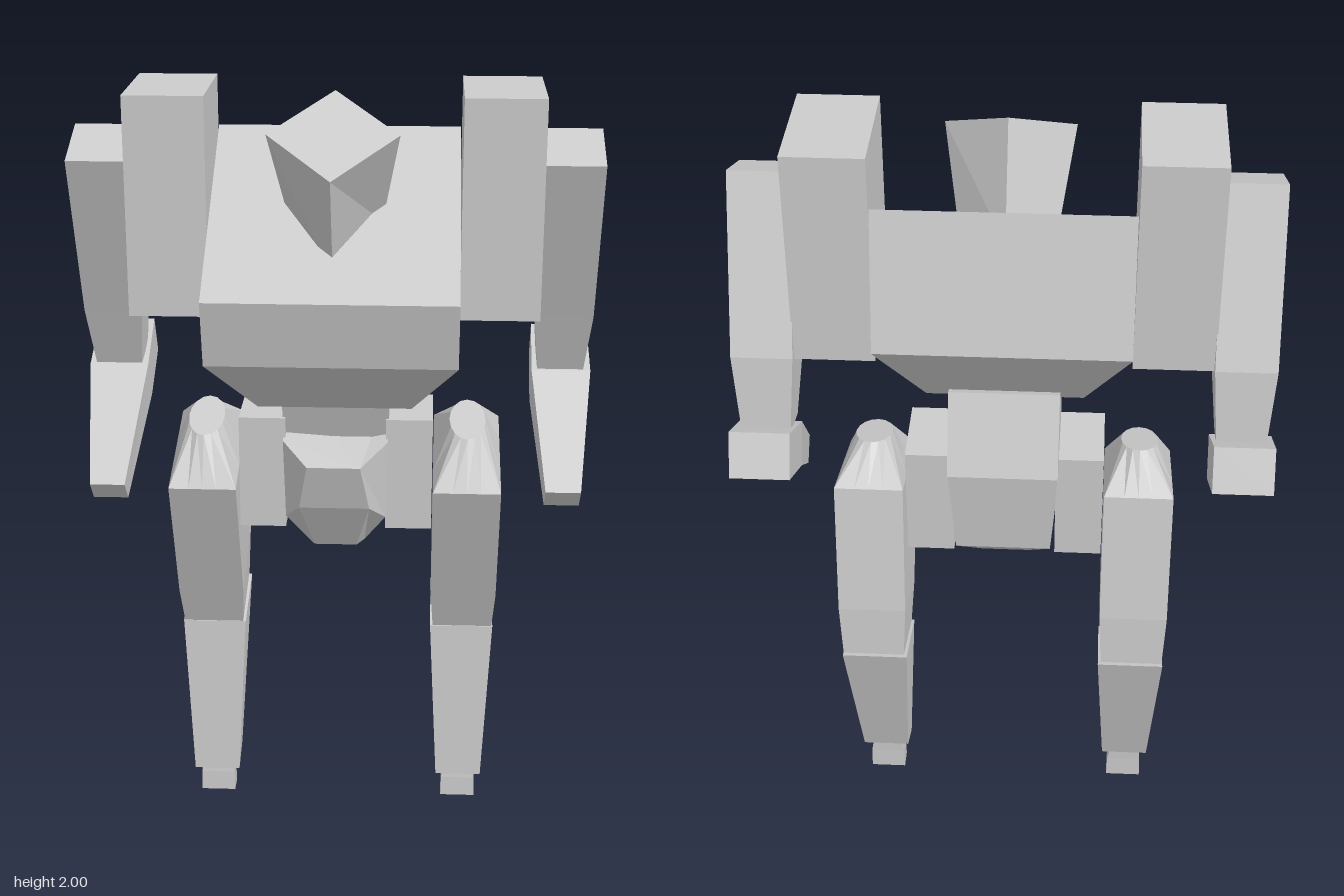
import * as THREE from 'three';

const material = new THREE.MeshStandardMaterial({ color: 0xcccccc, flatShading: true, side: THREE.DoubleSide });

// Four corners of a tilted section: centre x, half width, front [z, y], back [z, y]
const rect = (cx, hw, [zf, yf], [zb, yb]) => [
  [cx + hw, yf, zf], [cx + hw, yb, zb], [cx - hw, yb, zb], [cx - hw, yf, zf],
];

// Section with 16 points on a tilted plane, either rectangular or elliptical
function ring(cx, hw, [zf, yf], [zb, yb], round) {
  const pts = [];
  for (let i = 0; i < 16; i++) {
    const a = (i / 16) * Math.PI * 2;
    const c = Math.cos(a), s = Math.sin(a);
    const k = round ? 1 : 1 / Math.max(Math.abs(c), Math.abs(s));
    const t = (1 - s * k) / 2;
    pts.push([cx + c * k * hw, yf + (yb - yf) * t, zf + (zb - zf) * t]);
  }
  return pts;
}

// Skin a stack of equal-length loops and cap both ends
function loft(parent, name, loops, side = 1) {
  const tris = [];
  const n = loops[0].length;
  for (let j = 0; j < loops.length - 1; j++) {
    for (let i = 0; i < n; i++) {
      const k = (i + 1) % n;
      const a = loops[j][i], b = loops[j][k], c = loops[j + 1][k], d = loops[j + 1][i];
      tris.push([a, b, c], [a, c, d]);
    }
  }
  const first = loops[0], last = loops[loops.length - 1];
  for (let i = 1; i < n - 1; i++) {
    tris.push([first[0], first[i + 1], first[i]], [last[0], last[i], last[i + 1]]);
  }
  // Mirror, then turn the faces outwards using the signed volume
  const o = new THREE.Vector3(first[0][0] * side, first[0][1], first[0][2]);
  const faces = tris.map((t) => t.map((p) => new THREE.Vector3(p[0] * side, p[1], p[2])));
  let volume = 0;
  for (const [a, b, c] of faces) {
    volume += a.clone().sub(o).dot(b.clone().sub(o).cross(c.clone().sub(o)));
  }
  if (volume < 0) faces.forEach((f) => f.reverse());
  const geometry = new THREE.BufferGeometry().setFromPoints(faces.flat());
  geometry.computeVertexNormals();
  const mesh = new THREE.Mesh(geometry, material);
  mesh.name = name;
  parent.add(mesh);
}

function box(parent, name, x0, x1, y0, y1, z0, z1, side) {
  const mesh = new THREE.Mesh(new THREE.BoxGeometry(x1 - x0, y1 - y0, z1 - z0), material);
  mesh.position.set((side * (x0 + x1)) / 2, (y0 + y1) / 2, (z0 + z1) / 2);
  mesh.name = name;
  parent.add(mesh);
}

// Six-cornered section of the pelvis: front, side and back points as [x, y, z]
const hex = (f, s, b) => {
  const half = [f, s, b];
  return [...half, ...half.map(([x, y, z]) => [-x, y, z]).reverse()];
};

export function createModel() {
  const model = new THREE.Group();
  model.name = 'walkingRobot';

  // Leaning chest block with a tapered belly
  loft(model, 'torso', [
    rect(0, 0.308, [0.347, 1.55], [-0.175, 1.872]),
    rect(0, 0.308, [0.305, 1.38], [-0.256, 1.53]),
    rect(0, 0.195, [0.105, 1.21], [-0.11, 1.32]),
  ]);

  // Diamond head sunk into the chest
  loft(model, 'head', [
    [[0, 1.835, 0.316], [0.16, 1.918, 0.18], [0, 2, 0.044], [-0.16, 1.918, 0.18]],
    [[0, 1.57, 0.188], [0.116, 1.675, 0.03], [0, 1.74, -0.094], [-0.116, 1.675, 0.03]],
  ]);

  // Waist and pelvis
  loft(model, 'waist', [
    rect(0, 0.137, [0.08, 1.26], [-0.16, 1.36]),
    rect(0, 0.137, [0.01, 1.07], [-0.24, 1.16]),
  ]);
  loft(model, 'pelvis', [
    hex([0.068, 1.07, 0.17], [0.135, 1.105, 0.07], [0.135, 1.16, -0.24]),
    hex([0.09, 0.945, 0.13], [0.13, 0.89, 0.05], [0.12, 0.92, -0.215]),
    hex([0.055, 0.81, 0.05], [0.075, 0.81, 0.01], [0.06, 0.81, -0.09]),
  ]);

  for (const side of [1, -1]) {
    const arm = new THREE.Group();
    arm.name = side > 0 ? 'leftArm' : 'rightArm';
    box(arm, 'shoulder', 0.31, 0.508, 1.455, 2, -0.175, 0.141, side);
    loft(arm, 'upperArm', [
      rect(0.58, 0.075, [0.113, 1.835], [-0.05, 1.895]),
      rect(0.58, 0.075, [-0.053, 1.41], [-0.207, 1.475]),
      rect(0.58, 0.06, [-0.115, 1.25], [-0.23, 1.27]),
    ], side);
    loft(arm, 'forearm', [
      rect(0.584, 0.074, [-0.345, 1.215], [-0.295, 1.318]),
      rect(0.584, 0.077, [-0.185, 1.14], [-0.135, 1.24]),
      rect(0.584, 0.045, [0.082, 0.945], [0.133, 1.0]),
    ], side);
    model.add(arm);

    const leg = new THREE.Group();
    leg.name = side > 0 ? 'leftLeg' : 'rightLeg';
    box(leg, 'hip', 0.13, 0.25, 0.86, 1.16, -0.155, 0.052, side);
    // Thigh block with a cone rising to an oval cap
    loft(leg, 'thigh', [
      ring(0.34, 0.047, [0.06, 1.113], [-0.11, 1.163], true),
      ring(0.34, 0.087, [0.128, 0.99], [-0.205, 1.085], false),
      ring(0.34, 0.087, [-0.018, 0.637], [-0.26, 0.73], false),
      ring(0.34, 0.08, [-0.065, 0.525], [-0.27, 0.585], false),
    ], side);
    loft(leg, 'shin', [
      rect(0.338, 0.085, [-0.063, 0.525], [-0.27, 0.575]),
      rect(0.338, 0.062, [-0.04, 0.077], [-0.135, 0.115]),
    ], side);
    loft(leg, 'foot', [
      rect(0.338, 0.037, [-0.066, 0.11], [-0.11, 0.11]),
      rect(0.338, 0.046, [-0.058, 0.055], [-0.108, 0.06]),
      rect(0.338, 0.047, [-0.056, 0], [-0.109, 0]),
    ], side);
    model.add(leg);
  }
  return model;
}
